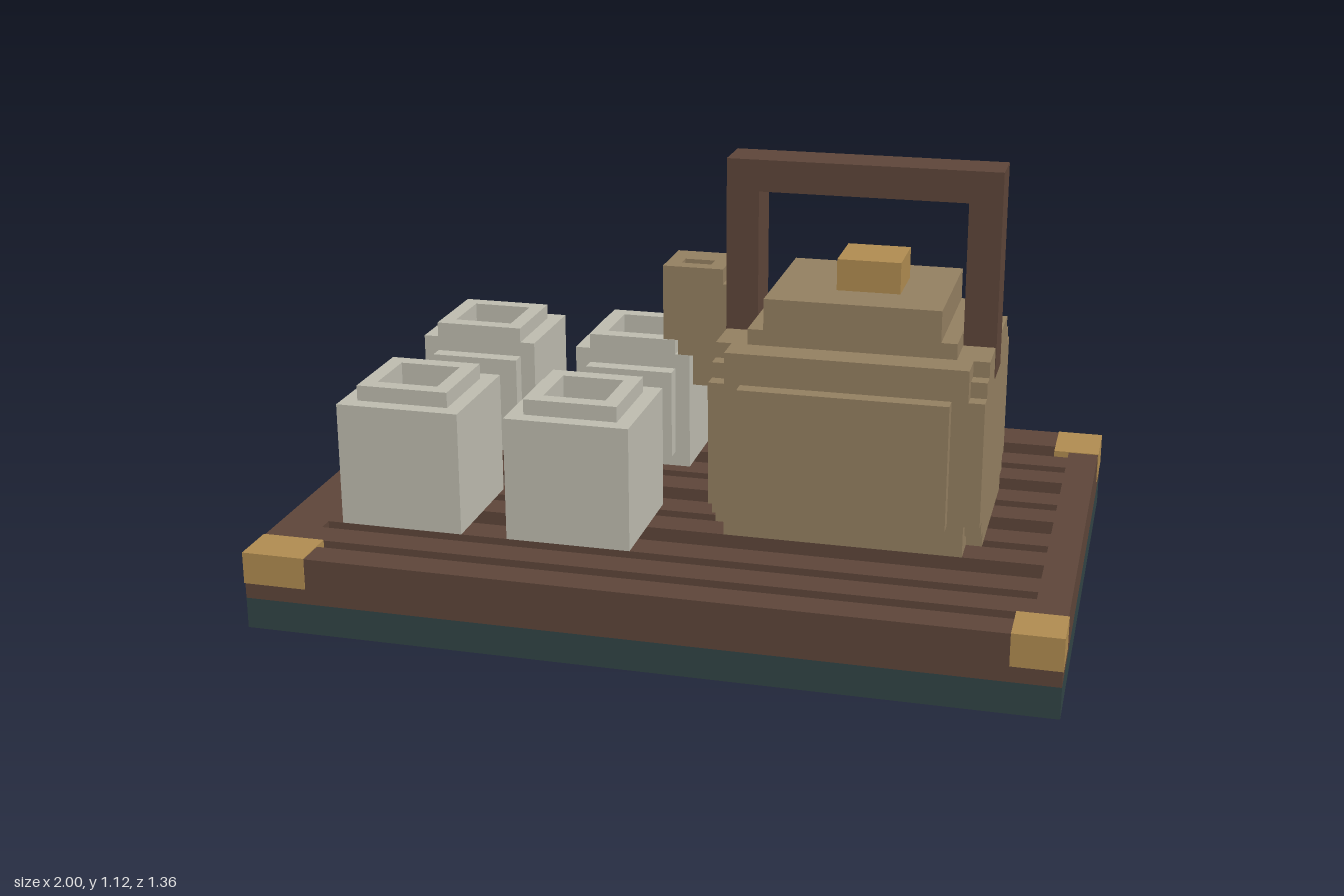
import * as THREE from 'three';

const mat = (name, color) => {
  const m = new THREE.MeshStandardMaterial({ color });
  m.name = name;
  return m;
};

export function createModel() {
  const wood = mat('dark wood', 0x5d4539);
  const slate = mat('slate base', 0x314345);
  const clay = mat('tan clay', 0x937f60);
  const brass = mat('brass', 0xaf8b50);
  const porcelain = mat('pale porcelain', 0xbdbbae);
  const glaze = mat('blue glaze', 0x51717a);

  const root = new THREE.Group();
  root.name = 'teaSet';
  const group = (name, parent = root) => {
    const g = new THREE.Group();
    g.name = name;
    parent.add(g);
    return g;
  };
  // Box given by its minimum and maximum on each axis
  const box = (parent, name, material, x0, x1, y0, y1, z0, z1) => {
    const geo = new THREE.BoxGeometry(x1 - x0, y1 - y0, z1 - z0);
    geo.translate((x0 + x1) / 2, (y0 + y1) / 2, (z0 + z1) / 2);
    const m = new THREE.Mesh(geo, material);
    m.name = name;
    parent.add(m);
  };
  const rectPoints = (x0, x1, y0, y1) =>
    [[x0, y0], [x1, y0], [x1, y1], [x0, y1]].map(([x, y]) => new THREE.Vector2(x, y));

  // Tray: slate base, slotted wooden top, brass corners
  const tray = group('tray');
  box(tray, 'trayBase', slate, -1, 1, 0, 0.08, -0.68, 0.68);
  const deck = new THREE.Shape(rectPoints(-1, 1, -0.68, 0.68));
  const slots = [[-0.56, -0.48], [-0.4, -0.36], [-0.28, -0.2], [-0.12, -0.08], [0, 0.08],
    [0.16, 0.2], [0.28, 0.36], [0.44, 0.48], [0.56, 0.6]];
  for (const [z0, z1] of slots) deck.holes.push(new THREE.Path(rectPoints(-0.88, 0.92, -z1, -z0)));
  const deckGeo = new THREE.ExtrudeGeometry(deck, { depth: 0.12, bevelEnabled: false });
  deckGeo.rotateX(-Math.PI / 2);
  deckGeo.translate(0, 0.08, 0);
  const deckMesh = new THREE.Mesh(deckGeo, wood);
  deckMesh.name = 'slottedDeck';
  tray.add(deckMesh);
  const e = 0.002; // small stand-off to keep faces apart
  for (const [x0, x1] of [[-1 - e, -0.84], [0.88, 1 + e]]) {
    for (const [z0, z1] of [[-0.68 - e, -0.52], [0.56, 0.68 + e]]) {
      box(tray, 'trayCorner', brass, x0, x1, 0.12, 0.2 + e, z0, z1);
    }
  }

  // Hollow square cups
  const ring = (parent, name, x0, x1, y0, y1, z0, z1, hx0, hx1, hz0, hz1) => {
    box(parent, name, porcelain, x0, hx0, y0, y1, z0, z1);
    box(parent, name, porcelain, hx1, x1, y0, y1, z0, z1);
    box(parent, name, porcelain, hx0, hx1, y0, y1, z0, hz0);
    box(parent, name, porcelain, hx0, hx1, y0, y1, hz1, z1);
  };
  for (const x of [-0.84, -0.4]) {
    for (const back of [true, false]) {
      const cup = group('cup');
      const z0 = back ? -0.44 : 0.12;
      const z1 = back ? -0.16 : 0.44;
      const r0 = z0 + 0.04;
      const r1 = r0 + 0.24;
      const hole = [x + 0.08, x + 0.24, r0 + 0.04, r1 - 0.04];
      box(cup, 'cupBottom', porcelain, x, x + 0.32, 0.2, 0.36, z0, z1);
      ring(cup, 'cupWall', x, x + 0.32, 0.36, 0.52, z0, z1, ...hole);
      ring(cup, 'cupRim', x + 0.04, x + 0.28, 0.52, 0.56, r0, r1, ...hole);
      if (back) box(cup, 'cupFrontPanel', porcelain, x + 0.04, x + 0.28, 0.24, 0.48, -0.16, -0.12);
    }
  }

  // Teapot body with chipped corners
  const pot = group('teapot');
  box(pot, 'potBody', clay, 0.12, 0.72, 0.2, 0.68, -0.28, 0.28);
  for (const [y, z] of [[0, 0.2], [0.04, 0.24], [0.08, 0.28]]) {
    box(pot, 'potSides', clay, 0.08, 0.76, 0.2 + y, 0.68 - y, -z, z);
  }
  box(pot, 'potFrontPanel', clay, 0.16, 0.68, 0.28, 0.6, 0.28, 0.32);

  // Lid and knob
  box(pot, 'lidBase', clay, 0.16, 0.68, 0.68, 0.72, -0.2, 0.2);
  box(pot, 'lidTop', clay, 0.2, 0.64, 0.72, 0.8, -0.2, 0.2);
  box(pot, 'lidKnob', brass, 0.36, 0.52, 0.8, 0.88, -0.08, 0.08);

  // Square arched handle
  const handle = group('potHandle', pot);
  box(handle, 'handlePost', wood, 0.08 - e, 0.16, 0.6, 1.04, -0.04, 0.08);
  box(handle, 'handlePost', wood, 0.68, 0.76 + e, 0.6, 1.04, -0.04, 0.08);
  box(handle, 'handleBar', wood, 0.08 - e, 0.76 + e, 1.04, 1.12, -0.04, 0.08);

  // Stepped spout built from columns, with a pouring hole in the top
  const spout = group('spout', pot);
  [0.6, 0.56, 0.48, 0.44, 0.4].forEach((bottom, i) => {
    const x = -0.12 + i * 0.04;
    const top = i === 4 ? 0.76 : 0.8;
    const holed = i === 1 || i === 2;
    box(spout, 'spoutStep', clay, x, x + 0.04, bottom, holed ? 0.72 : top, -0.2, -0.04);
    if (holed) {
      box(spout, 'spoutLip', clay, x, x + 0.04, 0.72, top, -0.2, -0.12);
      box(spout, 'spoutLip', clay, x, x + 0.04, 0.72, top, -0.08, -0.04);
    }
  });

  // Raised square spiral on the back
  const spiral = group('spiralOrnament', pot);
  const bars = [[0.28, 0.6, 0.56, 0.6], [0.28, 0.32, 0.36, 0.56], [0.28, 0.6, 0.32, 0.36],
    [0.56, 0.6, 0.4, 0.56], [0.36, 0.56, 0.4, 0.44], [0.36, 0.4, 0.44, 0.52], [0.4, 0.52, 0.48, 0.52]];
  for (const b of bars) box(spiral, 'spiralBar', glaze, ...b, -0.32, -0.28);

  return root;
}
